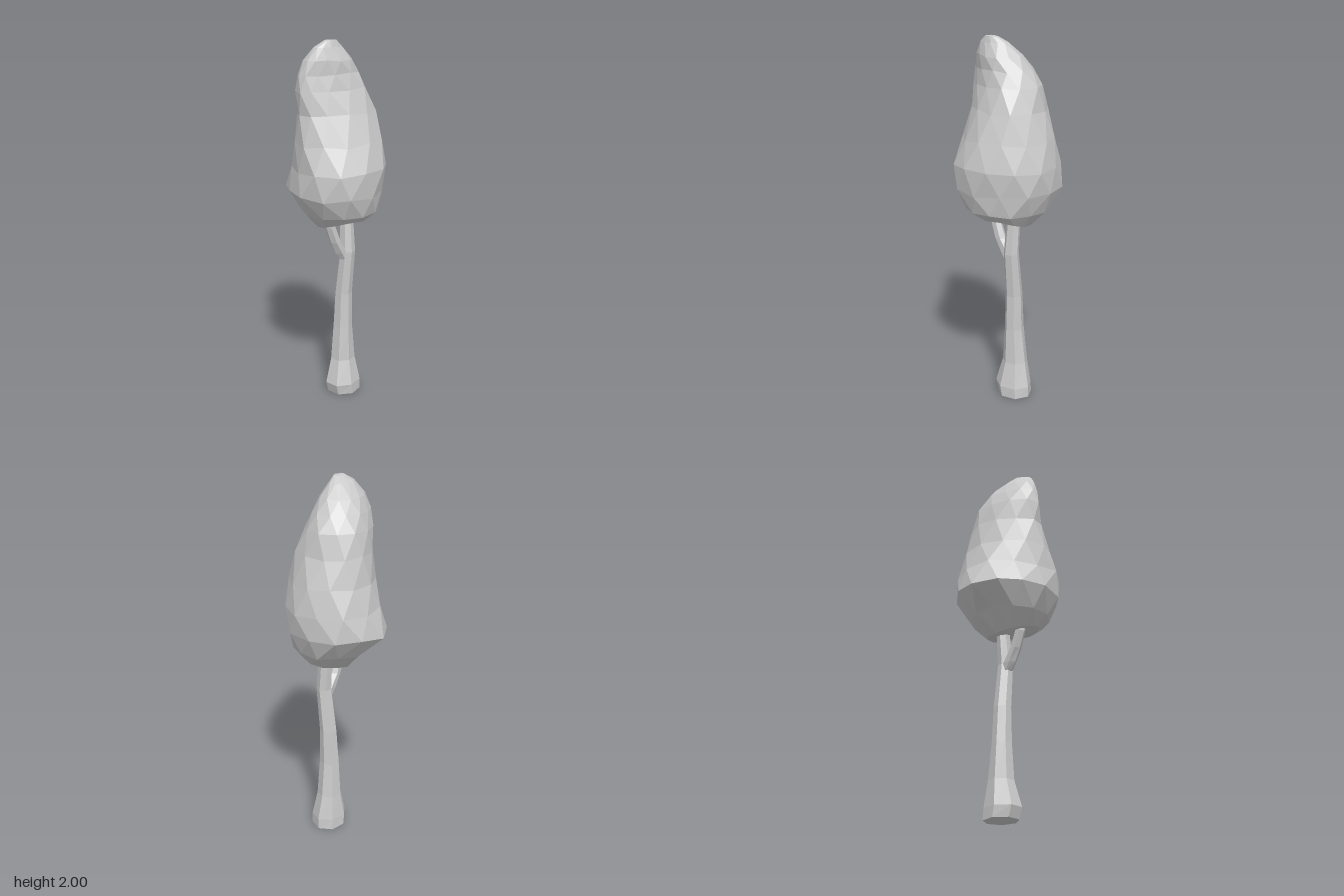
import * as THREE from 'three';

// Faceted closed loft through horizontal rings, listed from the bottom up.
// Ring: [y, xMin, xMax, zMin, zMax, shear, taper, dent, tilt]
// taper narrows the ring towards -x (mostly in front), dent flattens the -x -z corner
function loft(name, rings, sides, { twist = 0, jitter = 0, seed = 1 } = {}) {
  let s = seed;
  const rand = () => ((s = (s * 16807) % 2147483647) / 2147483647) * 2 - 1;
  const pos = [], index = [];
  rings.forEach(([y, x0, x1, z0, z1, shear = 0, taper = 0, dent = 0, tilt = 0], i) => {
    const cx = (x0 + x1) / 2, cz = (z0 + z1) / 2;
    for (let j = 0; j < sides; j++) {
      const a = ((j + i * twist) / sides) * Math.PI * 2;
      const off = Math.atan2(Math.sin(a - 3.8), Math.cos(a - 3.8)) / 0.5;
      const k = 1.02 + jitter * rand() - dent * Math.exp(-off * off);
      const t = Math.sin(a) > 0 ? taper : taper * 0.4;
      const narrow = (1 + t * Math.cos(a)) / (1 + t * t / 2);
      const dz = k * (z1 - z0) / 2 * Math.sin(a + shear) * narrow;
      const dy = jitter * 0.6 * (x1 - x0) * rand();
      pos.push(cx + k * (x1 - x0) / 2 * Math.cos(a), y + tilt * dz + dy, cz + dz);
    }
  });
  const last = rings.length - 1, at = (i, j) => i * sides + (j % sides);
  for (let i = 0; i < last; i++) for (let j = 0; j < sides; j++) {
    index.push(at(i, j), at(i + 1, j), at(i, j + 1));
    index.push(at(i, j + 1), at(i + 1, j), at(i + 1, j + 1));
  }
  // caps
  const low = pos.length / 3, high = low + 1;
  for (const [y, x0, x1, z0, z1] of [rings[0], rings[last]]) pos.push((x0 + x1) / 2, y, (z0 + z1) / 2);
  for (let j = 0; j < sides; j++) {
    index.push(low, at(0, j), at(0, j + 1));
    index.push(high, at(last, j + 1), at(last, j));
  }
  const geo = new THREE.BufferGeometry();
  geo.setAttribute('position', new THREE.Float32BufferAttribute(pos, 3));
  geo.setIndex(index);
  const flat = geo.toNonIndexed();
  flat.computeVertexNormals();
  const mesh = new THREE.Mesh(flat, new THREE.MeshStandardMaterial({ color: 0xcccccc, flatShading: true }));
  mesh.name = name;
  return mesh;
}

export function createModel() {
  const tree = new THREE.Group();
  tree.name = 'tree';

  // flared, slightly bent trunk
  tree.add(loft('trunk', [
    [0, -0.036, 0.155, -0.067, 0.112],
    [0.06, -0.054, 0.154, -0.066, 0.114],
    [0.2, -0.015, 0.126, -0.048, 0.083],
    [0.4, 0.0, 0.102, -0.036, 0.075],
    [0.6, 0.006, 0.1, -0.022, 0.071],
    [0.85, 0.014, 0.097, 0.01, 0.092],
    [1.08, 0.028, 0.096, -0.002, 0.07],
  ], 7));

  // side branch with an elbow
  tree.add(loft('branch', [
    [0.81, 0.005, 0.07, 0.015, 0.07],
    [0.85, -0.025, 0.06, 0.01, 0.07],
    [0.92, -0.061, 0.002, 0.008, 0.068],
    [1.01, -0.095, -0.035, 0.008, 0.062],
    [1.08, -0.105, -0.05, 0.01, 0.06],
  ], 6));

  // leaning, lumpy crown
  tree.add(loft('crown', [
    [1.03, -0.14, 0.16, -0.07, 0.2, 0, 0, 0, 0.25],
    [1.1, -0.2, 0.22, -0.17, 0.25, -0.05],
    [1.21, -0.278, 0.262, -0.275, 0.275, -0.04, 0, 0.14],
    [1.34, -0.268, 0.275, -0.235, 0.283, -0.07, 0, 0.1],
    [1.48, -0.247, 0.25, -0.205, 0.24, -0.05, 0.1, 0.05],
    [1.63, -0.227, 0.2, -0.18, 0.2, -0.05, 0.35],
    [1.75, -0.237, 0.168, -0.16, 0.15, -0.03, 0.45],
    [1.83, -0.23, 0.125, -0.13, 0.125, 0, 0.45],
    [1.9, -0.203, 0.07, -0.09, 0.11, 0, 0.3],
    [1.965, -0.165, 0.005, -0.025, 0.08, 0, 0.2],
    [1.997, -0.115, -0.04, 0.025, 0.068],
  ], 12, { twist: 0.5, jitter: 0.03, seed: 77 }));

  return tree;
}
